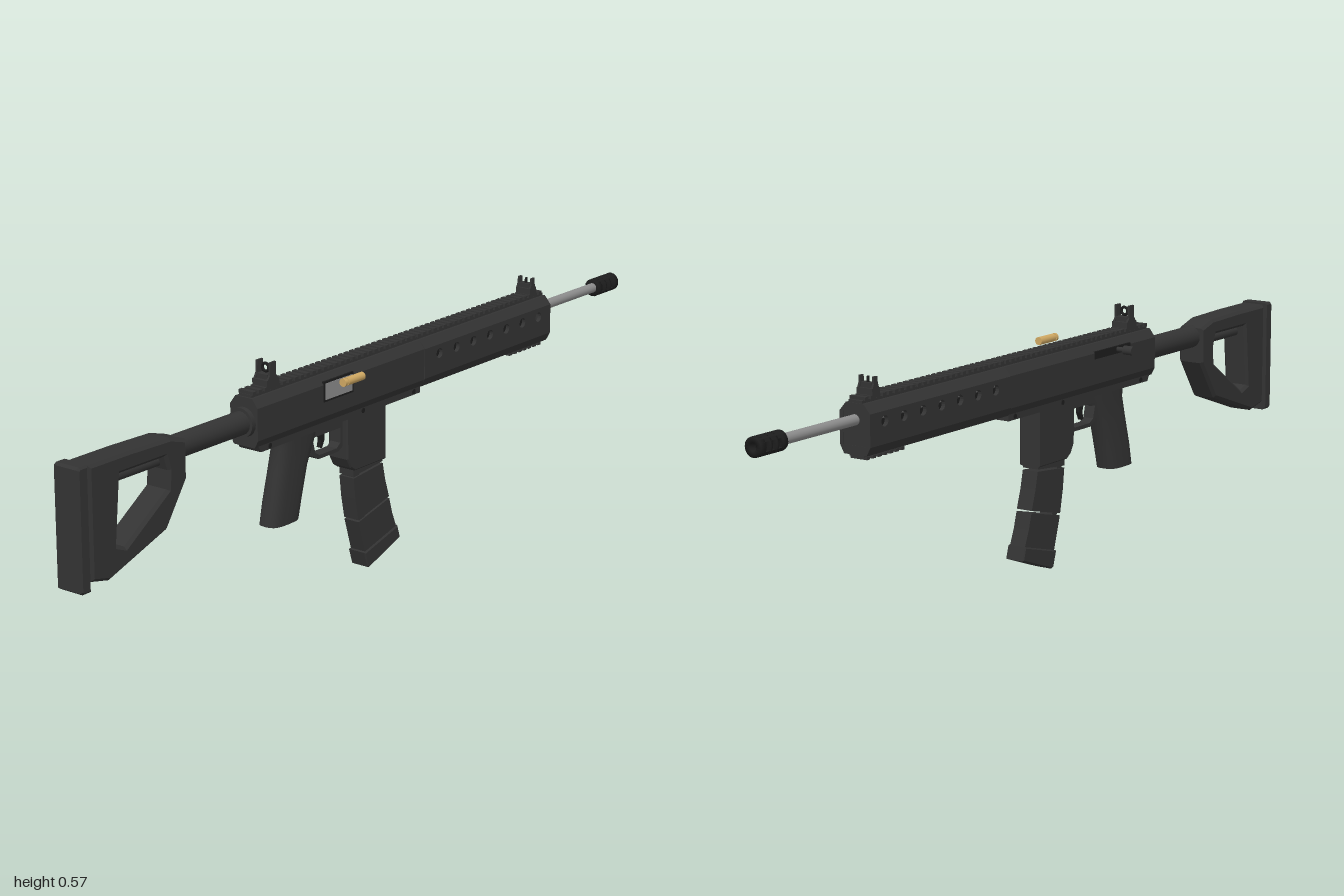
import * as THREE from 'three';

const mat = (name, color, side = THREE.FrontSide) => {
  const m = new THREE.MeshStandardMaterial({ color, side });
  m.name = name;
  return m;
};

export function createModel() {
  const root = new THREE.Group();
  const gun = new THREE.Group();
  gun.name = 'rifle';
  gun.position.z = -0.012;
  root.add(gun);

  const body = mat('charcoal', 0x333333);
  const black = mat('black', 0x1d1d1d, THREE.DoubleSide);
  const steel = mat('steel', 0x8c8c8c);
  const brass = mat('brass', 0xcfa862);

  const add = (name, geo, m, x = 0, y = 0, z = 0) => {
    const mesh = new THREE.Mesh(geo, m);
    mesh.name = name;
    mesh.position.set(x, y, z);
    gun.add(mesh);
    return mesh;
  };
  const box = (name, m, x0, x1, y0, y1, z0, z1) =>
    add(name, new THREE.BoxGeometry(x1 - x0, y1 - y0, z1 - z0), m, (x0 + x1) / 2, (y0 + y1) / 2, (z0 + z1) / 2);
  const shapeOf = (pts) => new THREE.Shape(pts.map(([x, y]) => new THREE.Vector2(x, y)));
  // side outline, extruded symmetrically across z, with an optional chamfer
  const slab = (name, shape, half, m, bevel = 0, z = 0) => {
    const geo = new THREE.ExtrudeGeometry(shape, {
      depth: 2 * (half - bevel), bevelEnabled: bevel > 0, bevelThickness: bevel,
      bevelSize: bevel, bevelOffset: -bevel, bevelSegments: 1, curveSegments: 8,
    });
    geo.translate(0, 0, bevel - half);
    return add(name, geo, m, 0, 0, z);
  };
  // symmetric cross-section given as [half width, y] from bottom to top, extruded along x
  const bar = (name, profile, x0, x1, m) => {
    const pts = [...profile, ...profile.slice().reverse().map(([z, y]) => [-z, y])];
    const geo = new THREE.ExtrudeGeometry(shapeOf(pts), { depth: x1 - x0, bevelEnabled: false });
    geo.rotateY(Math.PI / 2);
    return add(name, geo, m, x0);
  };
  const rod = (name, r, x0, x1, y, z, m, sides = 20) => {
    const geo = new THREE.CylinderGeometry(r, r, x1 - x0, sides);
    geo.rotateZ(-Math.PI / 2);
    return add(name, geo, m, (x0 + x1) / 2, y, z);
  };

  // receiver
  bar('upperReceiver', [[0.03, 0.396], [0.039, 0.414], [0.039, 0.488], [0.024, 0.508]], -0.44, 0.16, body);
  slab('lowerReceiver', shapeOf([[-0.43, 0.4], [-0.42, 0.383], [0.155, 0.383], [0.155, 0.4]]), 0.031, body);
  box('ejectionPort', black, -0.212, -0.106, 0.448, 0.496, 0.035, 0.04);
  box('bolt', steel, -0.207, -0.111, 0.453, 0.491, 0.036, 0.0415);
  box('handleSlot', black, -0.33, -0.18, 0.474, 0.492, -0.0405, -0.036);
  for (const z of [-0.0305, 0.0305]) {
    for (const x of [-0.39, -0.06, 0.13]) {
      const pin = add('receiverPin', new THREE.CylinderGeometry(0.006, 0.006, 0.004, 10), black, x, 0.391, z);
      pin.rotation.x = Math.PI / 2;
    }
  }

  // handguard: top, bottom and pierced side panels around the barrel
  bar('handguardTop', [[0.041, 0.488], [0.024, 0.508]], 0.16, 0.67, body);
  bar('handguardBottom', [[0.03, 0.396], [0.041, 0.416]], 0.16, 0.67, body);
  for (const s of [-1, 1]) {
    const panel = shapeOf([[0.16, 0.416], [0.67, 0.416], [0.67, 0.488], [0.16, 0.488]]);
    for (let i = 0; i < 7; i++) {
      panel.holes.push(new THREE.Path().absarc(0.217 + i * 0.067, 0.466, 0.012, 0, Math.PI * 2, true));
    }
    slab('handguardSide', panel, 0.005, body, 0, s * 0.036);
  }
  box('handguardCap', body, 0.655, 0.669, 0.414, 0.49, -0.033, 0.033);
  box('handguardCore', black, 0.165, 0.655, 0.42, 0.484, -0.004, 0.004);
  box('lowerRail', body, 0.525, 0.665, 0.392, 0.397, -0.019, 0.019);
  for (let i = 0; i < 7; i++) box('lowerRailTooth', body, 0.527 + i * 0.02, 0.538 + i * 0.02, 0.385, 0.392, -0.022, 0.022);

  // top rail
  box('topRail', body, -0.435, 0.668, 0.506, 0.514, -0.018, 0.018);
  for (let i = 0; i < 54; i++) {
    const x = -0.433 + i * 0.0204;
    box('topRailTooth', body, x, x + 0.012, 0.513, 0.521, -0.021, 0.021);
  }

  // barrel and slotted muzzle
  rod('barrel', 0.012, 0.16, 0.92, 0.472, 0, steel);
  const collar = (x0, x1) => {
    const pts = [[0.009, x0], [0.022, x0], [0.022, x1], [0.009, x1], [0.009, x0]];
    const geo = new THREE.LatheGeometry(pts.map(([r, y]) => new THREE.Vector2(r, y)), 16);
    geo.rotateZ(-Math.PI / 2);
    add('muzzleCollar', geo, black, 0, 0.472);
  };
  [[0.915, 0.929], [0.943, 0.949], [0.963, 0.969], [0.983, 1]].forEach(([a, b]) => collar(a, b));
  for (const s of [-1, 1]) {
    bar('muzzleBridge', [[0.019, 0.472 + s * 0.0105], [0.014, 0.472 + s * 0.017], [0.006, 0.472 + s * 0.0215]]
      .sort((a, b) => a[1] - b[1]), 0.916, 0.999, black);
  }

  // sights
  for (const [x, top] of [[-0.365, 0.574], [0.623, 0.56]]) {
    const rear = x < 0;
    const w = rear ? 0.021 : 0.013;
    box('sightBase', body, x - w, x + w, 0.515, 0.535, -0.021, 0.021);
    box('sightBlock', body, x - w * 0.6, x + w * 0.6, 0.535, 0.546, -0.015, 0.015);
    for (const s of [-1, 1]) {
      slab('sightEar', shapeOf([[x - w, 0.53], [x + w, 0.53], [x + w * 0.5, 0.545], [x + w * 0.5, top], [x - w * 0.4, top], [x - w * 0.5, 0.545]]),
        0.0025, body, 0, s * 0.0185);
    }
    if (rear) {
      const ring = add('rearSightRing', new THREE.TorusGeometry(0.009, 0.0035, 8, 18), black, x, 0.559);
      ring.rotation.y = Math.PI / 2;
    } else box('frontSightPost', black, x - 0.003, x + 0.003, 0.545, 0.559, -0.002, 0.002);
  }

  // charging handle
  for (const [r, z0, z1] of [[0.006, -0.068, -0.036], [0.011, -0.085, -0.06]]) {
    const part = add('chargingHandle', new THREE.CylinderGeometry(r, r, z1 - z0, 14), body, -0.275, 0.484, (z0 + z1) / 2);
    part.rotation.x = Math.PI / 2;
  }

  // stock
  rod('bufferTube', 0.027, -0.7, -0.44, 0.452, 0, body);
  rod('tubeRod', 0.012, -0.89, -0.69, 0.436, 0, body, 14);
  rod('tubeCollar', 0.034, -0.452, -0.438, 0.452, 0, body);
  const stock = shapeOf([[-0.965, 0.24], [-0.91, 0.228], [-0.73, 0.29], [-0.664, 0.388], [-0.664, 0.475],
    [-0.715, 0.49], [-0.84, 0.493], [-0.965, 0.493]]);
  stock.holes.push(new THREE.Path([[-0.87, 0.452], [-0.732, 0.452], [-0.722, 0.42], [-0.726, 0.378], [-0.86, 0.288],
    [-0.885, 0.298]].map(([x, y]) => new THREE.Vector2(x, y))));
  slab('stock', stock, 0.034, body, 0.007);
  slab('buttPad', shapeOf([[-1, 0.225], [-0.993, 0.22], [-0.968, 0.22], [-0.968, 0.497], [-0.993, 0.497], [-1, 0.492]]), 0.036, body, 0.005);

  // pistol grip: rounded sections [y, back x, front x, half width]
  const sections = [[0.19, -0.374, -0.276, 0.03], [0.24, -0.365, -0.262, 0.029], [0.31, -0.348, -0.24, 0.027], [0.36, -0.336, -0.215, 0.027], [0.39, -0.338, -0.205, 0.028]];
  const n = 20, pos = [], idx = [];
  const soft = (v) => Math.sign(v) * Math.abs(v) ** 0.65;
  for (const [y, a, b, h] of sections) {
    for (let i = 0; i < n; i++) {
      const t = (i / n) * Math.PI * 2;
      pos.push((a + b) / 2 + soft(Math.cos(t)) * (b - a) / 2, y, soft(Math.sin(t)) * h);
    }
  }
  for (let j = 0; j < sections.length - 1; j++) {
    for (let i = 0; i < n; i++) {
      const p = j * n + i, q = j * n + (i + 1) % n;
      idx.push(p, p + n, q, q, p + n, q + n);
    }
  }
  const gripGeo = new THREE.BufferGeometry();
  gripGeo.setAttribute('position', new THREE.Float32BufferAttribute(pos, 3));
  gripGeo.setIndex(idx);
  gripGeo.computeVertexNormals();
  add('grip', gripGeo, body);
  const sole = shapeOf(pos.slice(0, n * 3).reduce((o, v, i, a) => (i % 3 ? o : [...o, [v, a[i + 2]]]), []));
  const soleGeo = new THREE.ShapeGeometry(sole);
  soleGeo.rotateX(Math.PI / 2);
  add('gripSole', soleGeo, black, 0, 0.19);

  // trigger and guard
  const guard = shapeOf([[-0.235, 0.385], [-0.22, 0.318], [-0.2, 0.307], [-0.13, 0.307], [-0.105, 0.32], [-0.105, 0.385]]);
  guard.holes.push(new THREE.Path([[-0.222, 0.362], [-0.212, 0.325], [-0.197, 0.316], [-0.135, 0.316], [-0.122, 0.326],
    [-0.122, 0.362]].map(([x, y]) => new THREE.Vector2(x, y))));
  slab('triggerGuard', guard, 0.014, body);
  slab('trigger', shapeOf([[-0.187, 0.37], [-0.18, 0.345], [-0.184, 0.328], [-0.177, 0.326], [-0.167, 0.345], [-0.168, 0.37]]), 0.005, black);

  // magazine well and magazine
  slab('magazineWell', shapeOf([[-0.115, 0.39], [-0.113, 0.285], [-0.1, 0.262], [-0.085, 0.252], [0.03, 0.252], [0.03, 0.39]]), 0.028, body, 0.003);
  slab('magazineTop', shapeOf([[-0.083, 0.27], [-0.082, 0.236], [0.025, 0.246], [0.025, 0.27]]), 0.021, body);
  slab('magazineMiddle', shapeOf([[-0.082, 0.231], [-0.076, 0.18], [-0.065, 0.125], [0.05, 0.153], [0.035, 0.2], [0.026, 0.241]]), 0.021, body);
  slab('magazineLower', shapeOf([[-0.064, 0.12], [-0.04, 0.04], [0.077, 0.073], [0.062, 0.11], [0.051, 0.148]]), 0.021, body);
  slab('magazineCore', shapeOf([[-0.08, 0.26], [-0.068, 0.16], [-0.035, 0.05], [-0.015, 0.055], [-0.048, 0.16], [-0.06, 0.26]]), 0.017, body);
  slab('magazineBase', shapeOf([[-0.046, 0.04], [-0.034, 0.002], [-0.026, 0], [0.09, 0.042], [0.08, 0.074]]), 0.025, body, 0.003);

  // ejected case
  rod('case', 0.0095, -0.208, -0.15, 0.507, 0.1, brass, 16);
  rod('caseGroove', 0.0075, -0.214, -0.207, 0.507, 0.1, brass, 16);
  rod('caseRim', 0.0095, -0.22, -0.213, 0.507, 0.1, brass, 16);
  return root;
}
